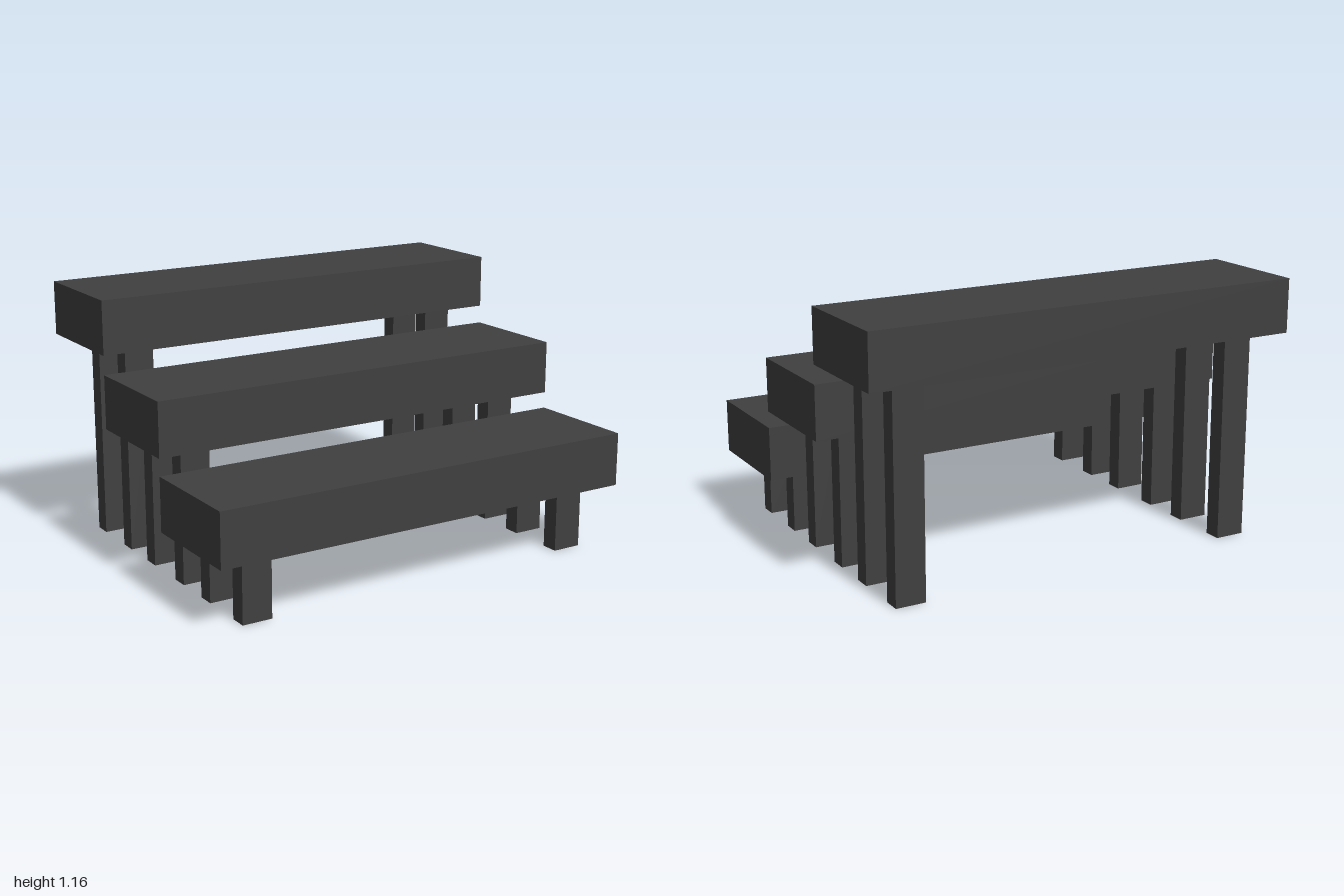
import * as THREE from 'three';

const LEG_X = 0.797, LEG_W = 0.135, LEG_D = 0.078, LEG_DZ = 0.137;
const SEAT_W = 2, SEAT_H = 0.24, SEAT_D = 0.514;

// Hollow square post with open ends, standing on y = 0
function postGeometry(width, height, depth) {
  return new THREE.CylinderGeometry(Math.SQRT1_2, Math.SQRT1_2, 1, 4, 1, true)
    .rotateY(Math.PI / 4)
    .scale(width, height, depth)
    .translate(0, height / 2, 0);
}

export function createModel() {
  const model = new THREE.Group();
  model.name = 'tieredBenches';
  const seatMaterial = new THREE.MeshStandardMaterial({ color: 0x404040 });
  const legMaterial = new THREE.MeshStandardMaterial({
    color: 0x404040, flatShading: true, side: THREE.DoubleSide,
  });

  // Three benches, rising from front to back
  const tiers = [
    { name: 'frontBench', z: 0.512, y: 0.285 },
    { name: 'middleBench', z: 0, y: 0.6 },
    { name: 'backBench', z: -0.512, y: 0.924 },
  ];
  for (const { name, z, y } of tiers) {
    const bench = new THREE.Group();
    bench.name = name;
    bench.position.z = z;

    // Thick plank seat
    const seat = new THREE.Mesh(new THREE.BoxGeometry(SEAT_W, SEAT_H, SEAT_D), seatMaterial);
    seat.name = 'seat';
    seat.position.y = y + SEAT_H / 2;
    bench.add(seat);

    // Two legs at each end, reaching the underside of the seat
    const post = postGeometry(LEG_W, y, LEG_D);
    for (const sx of [-1, 1]) {
      for (const sz of [-1, 1]) {
        const leg = new THREE.Mesh(post, legMaterial);
        leg.name = (sz > 0 ? 'front' : 'back') + (sx > 0 ? 'Left' : 'Right') + 'Leg';
        leg.position.set(sx * LEG_X, 0, sz * LEG_DZ);
        bench.add(leg);
      }
    }
    model.add(bench);
  }
  return model;
}
